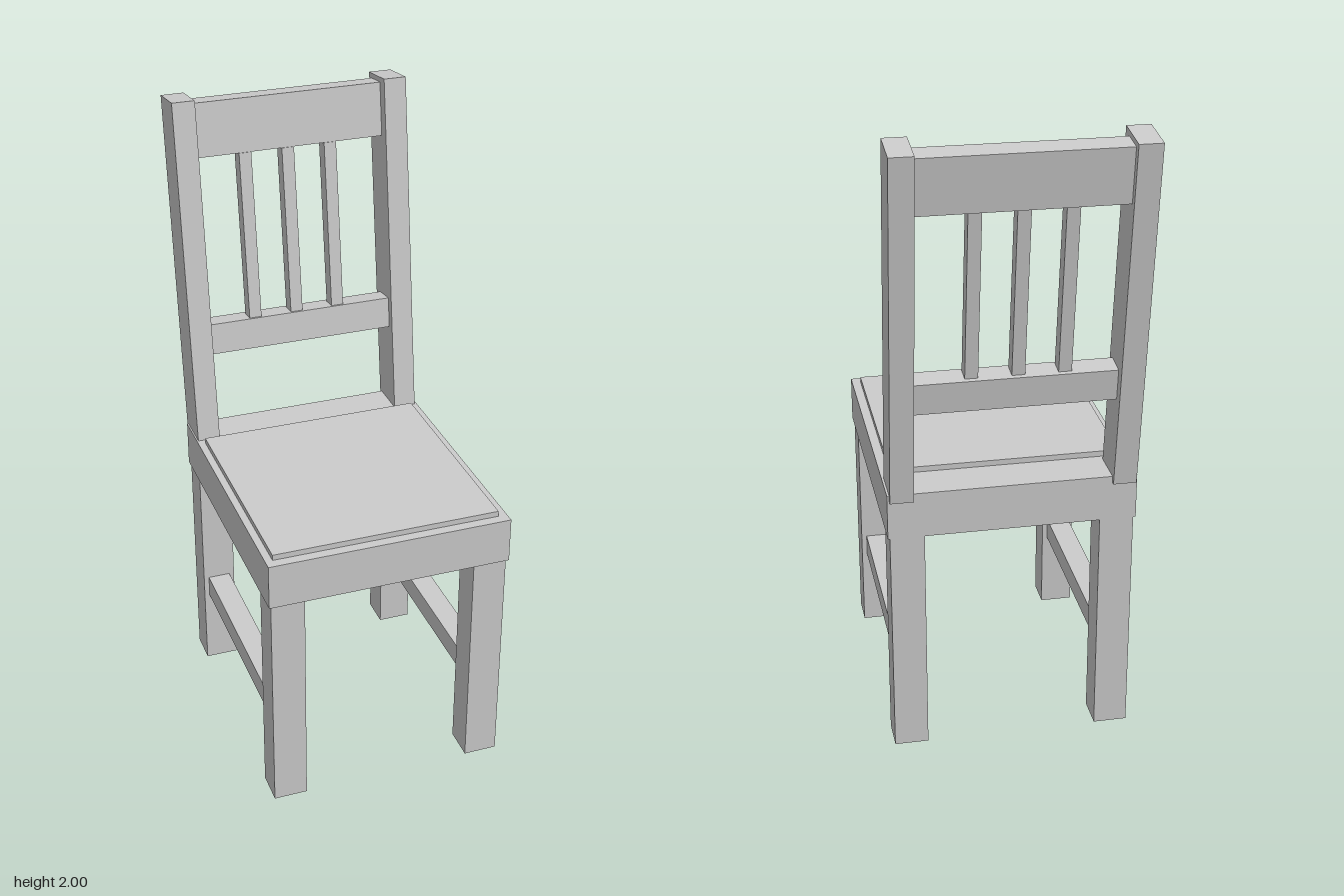
import * as THREE from 'three';

const material = new THREE.MeshStandardMaterial({ color: 0xcccccc });

// Adds a box given its extents along each axis
function addBox(parent, name, [x0, x1], [y0, y1], [z0, z1]) {
  const mesh = new THREE.Mesh(new THREE.BoxGeometry(x1 - x0, y1 - y0, z1 - z0), material);
  mesh.position.set((x0 + x1) / 2, (y0 + y1) / 2, (z0 + z1) / 2);
  mesh.name = name;
  parent.add(mesh);
  return mesh;
}

export function createModel() {
  const chair = new THREE.Group();
  chair.name = 'chair';

  // Seat block and thin raised pad
  addBox(chair, 'seat', [-0.389, 0.387], [0.747, 0.894], [-0.372, 0.53]);
  addBox(chair, 'seatPad', [-0.366, 0.358], [0.88, 0.912], [-0.228, 0.498]);

  // Legs, with a stretcher joining front and back on each side
  const sides = [
    { side: 'right', leg: [-0.381, -0.274], post: [-0.384, -0.311] },
    { side: 'left', leg: [0.274, 0.381], post: [0.307, 0.38] },
  ];
  for (const { side, leg } of sides) {
    addBox(chair, `${side}FrontLeg`, leg, [0, 0.747], [0.415, 0.52]);
    addBox(chair, `${side}BackLeg`, leg, [0, 0.747], [-0.372, -0.266]);
    addBox(chair, `${side}Stretcher`, [leg[0] + 0.017, leg[1] - 0.017], [0.262, 0.335], [-0.266, 0.415]);
  }

  // Backrest leaning backwards, pivoting on the lower front edge of the posts
  const back = new THREE.Group();
  back.name = 'backrest';
  back.position.set(0, 0.89, -0.248);
  back.rotation.x = -0.131;
  chair.add(back);

  for (const { side, post } of sides) {
    addBox(back, `${side}Post`, post, [0, 1.12], [-0.137, 0]);
  }
  addBox(back, 'topRail', [-0.311, 0.307], [0.932, 1.104], [-0.115, -0.039]);
  addBox(back, 'lowerRail', [-0.311, 0.307], [0.286, 0.387], [-0.103, -0.027]);

  // Upright slats between the rails
  for (const x of [-0.152, -0.011, 0.13]) {
    addBox(back, 'slat', [x - 0.02, x + 0.02], [0.387, 0.932], [-0.087, -0.036]);
  }

  return chair;
}
